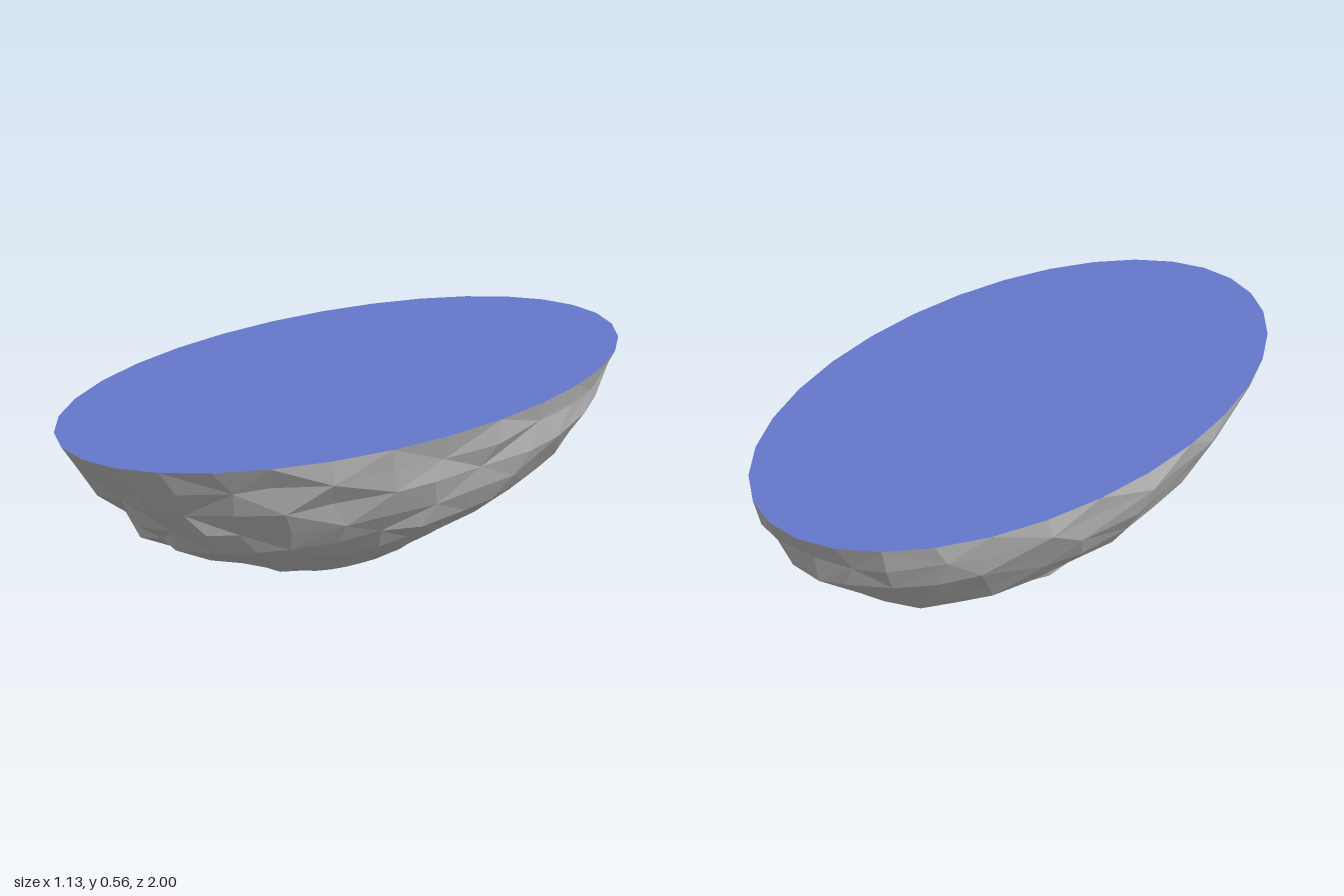
import * as THREE from 'three';

const SIDES = 32;
const TOP = 0.555;

// Rings from rim to base: height, then reach towards +x, -x, +z, -z
const RINGS = [
  [TOP, 0.565, 0.565, 1, 1],
  [0.48, 0.54, 0.55, 0.935, 0.97],
  [0.4, 0.515, 0.505, 0.885, 0.93],
  [0.32, 0.475, 0.455, 0.82, 0.84],
  [0.25, 0.43, 0.4, 0.755, 0.765],
  [0.18, 0.355, 0.32, 0.635, 0.65],
  [0.12, 0.265, 0.235, 0.5, 0.52],
  [0.07, 0.2, 0.215, 0.4, 0.36],
  [0.035, 0.15, 0.15, 0.29, 0.19],
  [0.012, 0.1, 0.06, 0.16, 0.11],
];

function seeded(seed) {
  return () => {
    seed = (seed * 16807) % 2147483647;
    return seed / 2147483647;
  };
}

// Rough, faceted bowl of rock
function rockGeometry() {
  const rand = seeded(71);
  const pos = [];
  const index = [];
  RINGS.forEach(([y, right, left, front, back], i) => {
    const rough = i === 0 ? 0 : i > 7 ? 0.3 : 1;
    for (let j = 0; j < SIDES; j++) {
      const a = (j / SIDES) * Math.PI * 2 + (rand() - 0.5) * 0.07 * rough;
      const r = 1 + (rand() - 0.6) * 0.045 * rough;
      const c = Math.cos(a), s = Math.sin(a);
      pos.push(
        c * r * (c > 0 ? right : left),
        y + (rand() - 0.5) * 0.018 * rough,
        s * r * (s > 0 ? front : back),
      );
    }
  });
  for (let i = 0; i < RINGS.length - 1; i++) {
    for (let j = 0; j < SIDES; j++) {
      const k = (j + 1) % SIDES;
      const a = i * SIDES + j, b = i * SIDES + k;
      const c = a + SIDES, d = b + SIDES;
      if ((i + j) % 2) index.push(a, b, c, b, d, c);
      else index.push(a, b, d, a, d, c);
    }
  }
  // Close the base on its lowest point
  const last = (RINGS.length - 1) * SIDES;
  const tip = pos.length / 3;
  pos.push(0.05, 0, -0.05);
  for (let j = 0; j < SIDES; j++) index.push(last + j, last + ((j + 1) % SIDES), tip);

  const indexed = new THREE.BufferGeometry();
  indexed.setAttribute('position', new THREE.Float32BufferAttribute(pos, 3));
  indexed.setIndex(index);
  const geo = indexed.toNonIndexed();
  geo.computeVertexNormals();
  return geo;
}

export function createModel() {
  const model = new THREE.Group();
  model.name = 'ovalRock';

  const rock = new THREE.Mesh(
    rockGeometry(),
    new THREE.MeshStandardMaterial({ color: 0xcccccc, flatShading: true }),
  );
  rock.name = 'rockUnderside';
  model.add(rock);

  // Flat oval top
  const surface = new THREE.Mesh(
    new THREE.CircleGeometry(1, SIDES).scale(0.565, 1, 1).rotateX(-Math.PI / 2),
    new THREE.MeshStandardMaterial({ color: 0x6678cc }),
  );
  surface.name = 'topSurface';
  surface.position.y = TOP;
  model.add(surface);

  return model;
}
